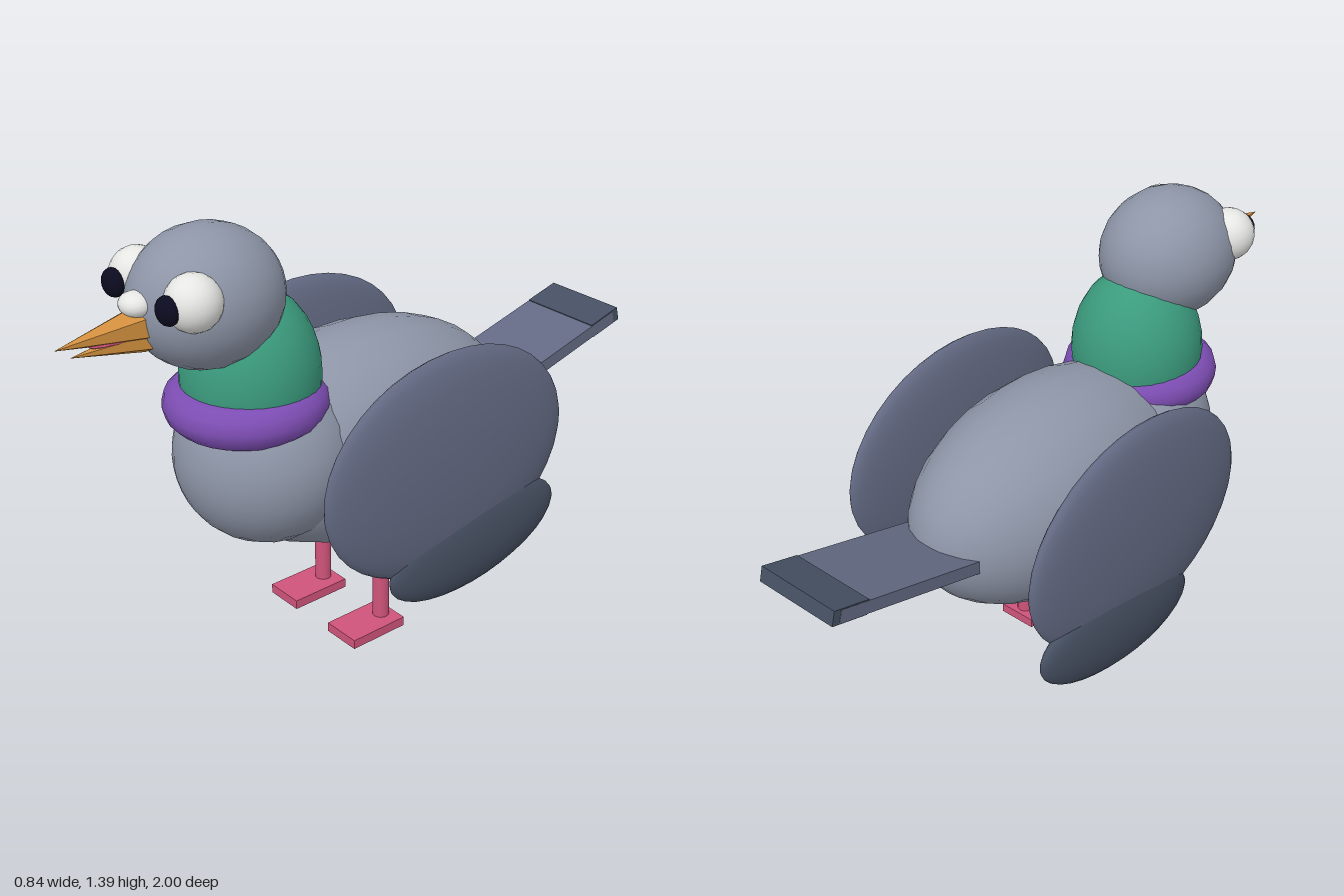
import * as THREE from 'three';

const mat = (name, color) => {
  const m = new THREE.MeshStandardMaterial({ color });
  m.name = name;
  return m;
};

export function createModel() {
  const bird = new THREE.Group();
  bird.name = 'bird';

  const grey = mat('body grey', 0x8d95a7);
  const slate = mat('wing slate', 0x636a83);
  const dark = mat('feather tip dark slate', 0x465062);
  const green = mat('neck green', 0x3b9b7d);
  const purple = mat('collar purple', 0x7d4db3);
  const pink = mat('leg pink', 0xd0547b);
  const orange = mat('beak orange', 0xd28f3e);
  const white = mat('eye white', 0xe6e6e4);
  const black = mat('pupil black', 0x0b0b20);

  const add = (name, geo, material, pos, parent = bird) => {
    const m = new THREE.Mesh(geo, material);
    m.name = name;
    m.position.set(...pos);
    parent.add(m);
    return m;
  };
  // Ellipsoid with its poles along z
  const ball = (name, material, pos, [rx, ry, rz], seg = 24) => {
    const geo = new THREE.SphereGeometry(1, seg, Math.round(seg * 0.7));
    geo.rotateX(Math.PI / 2).scale(rx, ry, rz);
    return add(name, geo, material, pos);
  };

  // Torso, neck and head
  ball('body', grey, [0, 0.62, 0], [0.305, 0.33, 0.53]);
  ball('breast', grey, [0, 0.66, 0.35], [0.27, 0.27, 0.27]);
  ball('neck', green, [0, 0.92, 0.395], [0.202, 0.26, 0.202]);
  ball('head', grey, [0, 1.187, 0.533], [0.2, 0.2, 0.225]);
  const collar = add('collar', new THREE.TorusGeometry(0.172, 0.066, 12, 28), purple, [0, 0.84, 0.413]);
  collar.rotation.x = Math.PI / 2;

  // Beak: two six-sided cones with a tongue between them
  const beakCone = (name, r, from, to) => {
    const a = new THREE.Vector3(...from), b = new THREE.Vector3(...to);
    const dir = b.clone().sub(a);
    const geo = new THREE.ConeGeometry(r, dir.length(), 6).toNonIndexed();
    geo.computeVertexNormals();
    const cone = add(name, geo, orange, a.add(b).multiplyScalar(0.5).toArray());
    cone.quaternion.setFromUnitVectors(new THREE.Vector3(0, 1, 0), dir.normalize());
  };
  beakCone('upperBeak', 0.056, [0, 1.165, 0.73], [0, 1.157, 0.998]);
  beakCone('lowerBeak', 0.042, [0, 1.12, 0.73], [0, 1.125, 0.955]);
  ball('tongue', pink, [0, 1.138, 0.8], [0.026, 0.009, 0.1], 10);
  ball('cere', white, [0, 1.22, 0.752], [0.05, 0.035, 0.045], 16);

  for (const [side, s] of [['left', 1], ['right', -1]]) {
    // Eyes
    ball(side + 'Eye', white, [s * 0.13, 1.24, 0.66], [0.08, 0.08, 0.078], 20);
    ball(side + 'Pupil', black, [s * 0.127, 1.237, 0.738], [0.041, 0.041, 0.028], 16);

    // Wings
    ball(side + 'Wing', slate, [s * 0.357, 0.63, -0.035], [0.063, 0.35, 0.457], 28);
    const tip = ball(side + 'WingTip', dark, [s * 0.372, 0.343, -0.135], [0.05, 0.145, 0.332]);
    tip.rotation.x = 0.12;

    // Legs and flat feet
    add(side + 'Leg', new THREE.CylinderGeometry(0.026, 0.026, 0.36, 14), pink, [s * 0.142, 0.2, 0.03]);
    add(side + 'Foot', new THREE.BoxGeometry(0.127, 0.03, 0.2), pink, [s * 0.142, 0.015, 0.09]);
  }

  // Tail, raised toward the back, with a dark end band
  const tail = new THREE.Group();
  tail.name = 'tail';
  tail.position.set(0, 0.628, -0.488);
  tail.rotation.x = 0.26;
  bird.add(tail);
  add('tailFeathers', new THREE.BoxGeometry(0.286, 0.04, 0.6), slate, [0, 0, -0.2], tail);
  add('tailTip', new THREE.BoxGeometry(0.284, 0.046, 0.122), dark, [0, 0, -0.463], tail);

  return bird;
}
